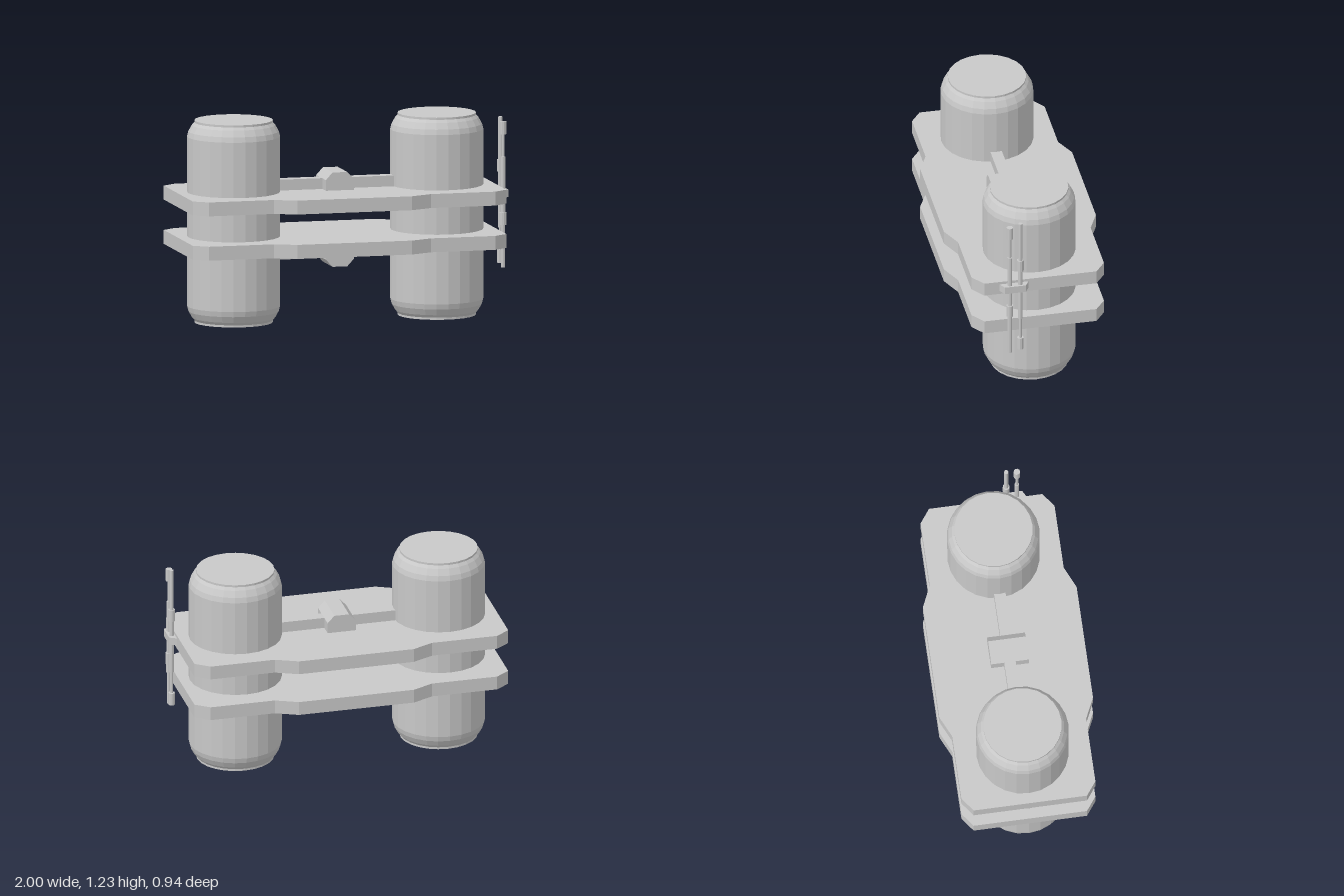
import * as THREE from 'three';

const grey = new THREE.MeshStandardMaterial({ color: 0xc8c8c8, flatShading: true });
grey.name = 'light grey';

function add(parent, name, geometry, x = 0, y = 0, z = 0) {
  const mesh = new THREE.Mesh(geometry, grey);
  mesh.name = name;
  mesh.position.set(x, y, z);
  parent.add(mesh);
  return mesh;
}

function extrude(points, depth) {
  const shape = new THREE.Shape(points.map(([x, y]) => new THREE.Vector2(x, y)));
  return new THREE.ExtrudeGeometry(shape, { depth, bevelEnabled: false });
}

// Plan outline (x, z) extruded upwards from y = 0
function slab(points, height) {
  return extrude(points.map(([x, z]) => [x, -z]), height).rotateX(-Math.PI / 2);
}

export function createModel() {
  const model = new THREE.Group();
  model.name = 'twinTankStation';

  // Upright tanks with rounded shoulders and flat end caps
  const half = [[0, 0], [0.237, 0], [0.237, 0.013], [0.252, 0.03], [0.273, 0.068], [0.281, 0.1]];
  const profile = [...half, ...half.map(([r, y]) => [r, 1.232 - y]).reverse()]
    .map(([r, y]) => new THREE.Vector2(r, y));
  const tank = new THREE.LatheGeometry(profile, 24);
  add(model, 'rightTank', tank, -0.655);
  add(model, 'leftTank', tank, 0.612);

  // Two broad decks
  const edge = [[-1, 0.345], [-0.915, 0.408], [-0.51, 0.408], [-0.38, 0.468],
    [0.335, 0.468], [0.47, 0.408], [0.87, 0.408], [0.955, 0.345]];
  const deck = slab([...edge, ...edge.map(([x, z]) => [x, -z]).reverse()], 0.085);
  add(model, 'lowerDeck', deck, 0, 0.44, 0);
  add(model, 'upperDeck', deck, 0, 0.71, 0);

  // Connecting beam and chamfered housing, above and below
  const housing = extrude([[-0.0875, 0], [0.0875, 0], [0.0875, 0.065], [0.046, 0.11],
    [-0.046, 0.11], [-0.0875, 0.065]], 0.23).translate(0, 0, -0.115);
  const beam = new THREE.BoxGeometry(0.75, 0.066, 0.07).translate(0, 0.033, 0);
  for (const [side, y, turn] of [['upper', 0.795, 0], ['lower', 0.44, Math.PI]]) {
    const link = new THREE.Group();
    link.name = side + 'Link';
    link.position.set(-0.022, y, 0);
    link.rotation.x = turn;
    add(link, 'beam', beam);
    add(link, 'housing', housing);
    model.add(link);
  }

  // Antenna bracket on the end of the decks
  const bracket = slab([[0.953, 0.253], [0.998, 0.228], [0.998, 0.098], [0.953, 0.073]], 0.046);
  add(model, 'antennaBracket', bracket, 0, 0.732, 0);

  // Two stepped antennas, the second turned upside down: [bottom, top, radius]
  const steps = [[0.3, 0.56, 0.013], [0.56, 0.635, 0.021], [0.635, 0.975, 0.014],
    [0.975, 1.115, 0.009], [1.112, 1.19, 0.02]];
  for (const [name, z, flip] of [['frontAntenna', 0.193, 1], ['rearAntenna', 0.128, -1]]) {
    const antenna = new THREE.Group();
    antenna.name = name;
    antenna.position.set(0.975, 0.755, z);
    if (flip < 0) antenna.rotation.x = Math.PI;
    steps.forEach(([a, b, r], i) =>
      add(antenna, 'section' + (i + 1), new THREE.CylinderGeometry(r, r, b - a, 10), 0, (a + b) / 2 - 0.755, 0));
    model.add(antenna);
  }

  return model;
}
